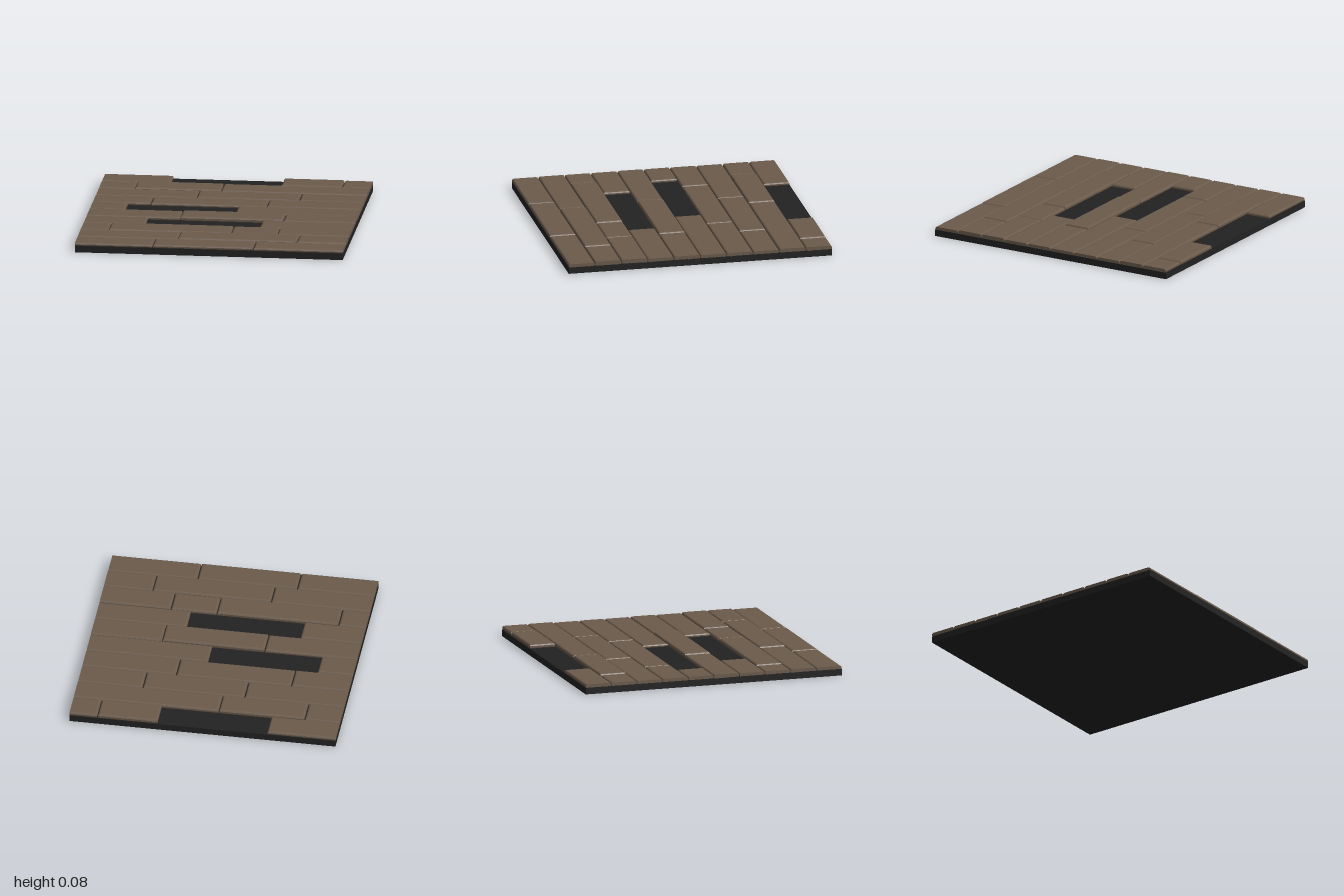
import * as THREE from 'three';

const BASE_TOP = 0.05;

// Beveled plank made of stacked rectangles; ends on the tile border stay flat
function plankGeometry(x0, x1, z0, z1, top) {
  const rings = [
    [0.004, BASE_TOP - 0.002], [0, BASE_TOP + 0.005], [0, top - 0.011],
    [0.005, top - 0.003], [0.014, top],
  ];
  const kL = x0 <= -1 ? 0 : 1, kR = x1 >= 1 ? 0 : 1;
  const pos = [], idx = [];
  for (const [d, y] of rings) {
    const l = x0 + d * kL, r = x1 - d * kR;
    pos.push(l, y, z0 + d, l, y, z1 - d, r, y, z1 - d, r, y, z0 + d);
  }
  for (let i = 0; i < rings.length - 1; i++) {
    for (let j = 0; j < 4; j++) {
      const a = i * 4 + j, b = i * 4 + (j + 1) % 4;
      idx.push(a, b, b + 4, a, b + 4, a + 4);
    }
  }
  const t = (rings.length - 1) * 4;
  idx.push(t, t + 1, t + 2, t, t + 2, t + 3);
  const indexed = new THREE.BufferGeometry();
  indexed.setAttribute('position', new THREE.Float32BufferAttribute(pos, 3));
  indexed.setIndex(idx);
  const geo = indexed.toNonIndexed();
  geo.computeVertexNormals();
  return geo;
}

// Rows from back to front: joint positions, top heights, index of missing plank
const ROWS = [
  { cuts: [-1, -0.485, 0.335, 0.79, 1], tops: [0.075, 0, 0.08, 0.077], missing: 1 },
  { cuts: [-1, -0.735, -0.09, 1], tops: [0.075, 0.081, 0.078] },
  { cuts: [-1, -0.25, 0.515, 1], tops: [0.073, 0.075, 0.073] },
  { cuts: [-1, -0.57, 0.295, 1], tops: [0.074, 0.073, 0.074] },
  { cuts: [-1, -0.735, 0.085, 1], tops: [0.075, 0, 0.073], missing: 1 },
  { cuts: [-1, -0.305, 0.465, 1], tops: [0.076, 0.082, 0.076] },
  { cuts: [-1, -0.54, 0.31, 1], tops: [0.074, 0, 0.074], missing: 1 },
  { cuts: [-1, -0.795, 0.12, 0.465, 1], tops: [0.074, 0.08, 0.077, 0.08] },
  { cuts: [-1, -0.255, 0.635, 1], tops: [0.075, 0.081, 0.079] },
  { cuts: [-1, -0.42, 0.33, 1], tops: [0.073, 0.075, 0.073] },
];

export function createModel() {
  const wood = new THREE.MeshStandardMaterial({ color: 0x6b5b4c });
  wood.name = 'brown wood';
  const dark = new THREE.MeshStandardMaterial({ color: 0x222222 });
  dark.name = 'dark subfloor';

  const model = new THREE.Group();
  model.name = 'plankFloor';

  // Solid slab under the planks
  const slab = new THREE.Mesh(new THREE.BoxGeometry(2, BASE_TOP, 2), dark);
  slab.name = 'subfloor';
  slab.position.y = BASE_TOP / 2;
  model.add(slab);

  // Planks, leaving narrow gaps at the joints
  ROWS.forEach(({ cuts, tops, missing }, r) => {
    const row = new THREE.Group();
    row.name = `plankRow${r + 1}`;
    const z0 = -1 + r * 0.2;
    tops.forEach((top, i) => {
      if (i === missing) return;
      const x0 = cuts[i] <= -1 ? -1 : cuts[i] + 0.004;
      const x1 = cuts[i + 1] >= 1 ? 1 : cuts[i + 1] - 0.004;
      const plank = new THREE.Mesh(plankGeometry(x0, x1, z0 + 0.002, z0 + 0.198, top), wood);
      plank.name = `plank${i + 1}`;
      row.add(plank);
    });
    model.add(row);
  });
  return model;
}
